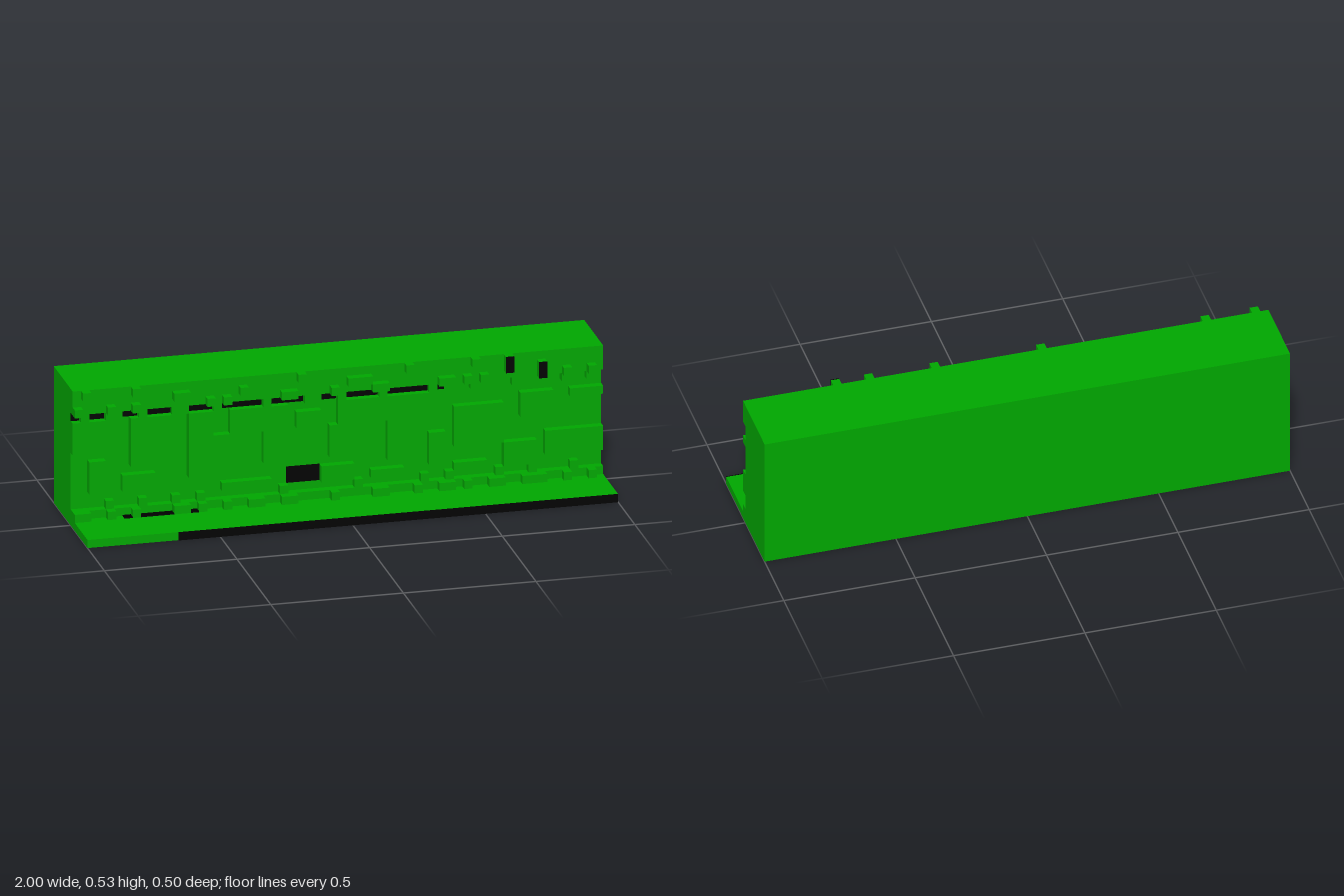
import * as THREE from 'three';

const U = 2 / 64; // one block of the grid
const T = 0.12; // plate thickness in blocks

export function createModel() {
  const model = new THREE.Group();
  model.name = 'panelledWall';
  const green = new THREE.MeshStandardMaterial({ color: 0x00a500 });
  green.name = 'green';
  const black = new THREE.MeshStandardMaterial({ color: 0x000000 });
  black.name = 'black';

  // Box from grid columns (0..64), rows (0..17) and depth (-8..8)
  function block(name, c0, c1, r0, r1, z0, z1, parent = model, material = green) {
    const geo = new THREE.BoxGeometry((c1 - c0) * U, (r1 - r0) * U, (z1 - z0) * U);
    const mesh = new THREE.Mesh(geo, material);
    mesh.name = name;
    mesh.position.set(((c0 + c1) / 2 - 32) * U, ((r0 + r1) / 2) * U, ((z0 + z1) / 2) * U);
    parent.add(mesh);
  }
  function group(name) {
    const g = new THREE.Group();
    g.name = name;
    model.add(g);
    return g;
  }

  // Main masses
  block('basePlate', 0, 64, 0, 1, -8, 8);
  block('wallCore', 0, 64, 1, 17, -8, 0);
  block('topBand', 0, 64, 14, 17, 0, 1);
  block('bottomBand', 0, 64, 1, 2, 0, 1);

  // Raised wall panels: column from, column to, row from, row to
  const panels = group('wallPanels');
  [
    [0, 4, 9, 13], [2, 4, 4, 8], [7, 12, 7, 13], [6, 10, 4, 6],
    [14, 17, 5, 13], [17, 21, 5, 10], [19, 23, 10, 13], [23, 26, 6, 13],
    [27, 30, 10, 12], [30, 34, 3, 5], [31, 36, 6, 10], [32, 43, 10, 13],
    [38, 42, 5, 10], [43, 45, 4, 8], [46, 52, 6, 11], [52, 56, 3, 6],
    [54, 58, 9, 12], [57, 64, 4, 7], [60, 64, 11, 12], [18, 24, 3, 4],
    [36, 40, 3, 4], [46, 50, 3, 4],
  ].forEach(([a, b, c, d]) => block('wallPanel', a, b, c, d, 0, 1, panels));

  // Teeth hanging below the top band (column, width) and rising from the bottom band
  const teeth = group('bandTeeth');
  [
    [1, 1], [4, 2], [8, 1], [12, 2], [17, 1], [23, 1], [28, 2], [32, 1], [37, 1], [43, 1],
    [48, 1], [53, 1], [59, 1], [62, 1],
  ].forEach(([c, w]) => block('upperTooth', c, c + w, 13, 14, 0, 1, teeth));
  [4, 8, 12, 15, 25, 34, 42, 45, 51, 55, 60].forEach((c) => block('lowerTooth', c, c + 1, 2, 3, 0, 1, teeth));

  // Studs on the top band: column, row, width, height
  const studs = group('topStuds');
  [
    [1, 16, 1, 1], [7, 16, 1, 1], [27, 16, 1, 1], [40, 16, 1, 1], [48, 16, 1, 1], [52, 15, 1, 2],
    [0, 14, 1, 1], [4, 14, 1, 1], [7, 14, 1, 1], [12, 15, 2, 1], [16, 14, 1, 1],
    [18, 14, 1, 1], [20, 15, 1, 1], [25, 14, 2, 1], [31, 14, 1, 1], [33, 15, 3, 1], [36, 14, 2, 1],
    [44, 14, 2, 1], [47, 14, 1, 1], [49, 14, 1, 1], [56, 14, 1, 2], [59, 14, 1, 1], [62, 14, 1, 1],
  ].forEach(([c, r, w, h]) => block('topStud', c, c + w, r, r + h, 1, 2, studs));

  // Studs along the foot of the wall: column, width
  const foot = group('footStuds');
  [
    [0, 2], [4, 1], [7, 1], [12, 2], [15, 1], [18, 1], [21, 2], [25, 2],
    [31, 1], [36, 2], [41, 1], [44, 2], [47, 1], [50, 2], [54, 2], [56, 1],
    [59, 1], [62, 1],
  ].forEach(([c, w]) => block('footStud', c, c + w, 1, 2, 1, 2, foot));

  // Black inlays: edge strip, recess under the top band, wall recess, stud faces, floor gaps
  const inlays = group('blackInlays');
  const inlay = (name, c0, c1, r0, r1, z) => block(name, c0, c1, r0, r1, z, z + T, inlays, black);
  inlay('edgeStrip', 11, 64, 0, 1, 8);
  [
    [0, 1], [2, 4], [6, 8], [9, 12], [14, 17], [18, 23], [24, 28], [30, 32], [33, 37], [38, 43], [44, 45],
  ].forEach(([a, b]) => inlay('recessInlay', a, b, 13, 14, 0));
  inlay('wallInlay', 26, 30, 3, 5, 0);
  inlay('studInlay', 52, 53, 15, 17, 2);
  inlay('studInlay', 56, 57, 14, 16, 2);
  [[6, 7], [8, 12], [14, 15]].forEach(([a, b]) => block('floorInlay', a, b, 1, 1 + T, 1, 2, inlays, black));

  return model;
}
